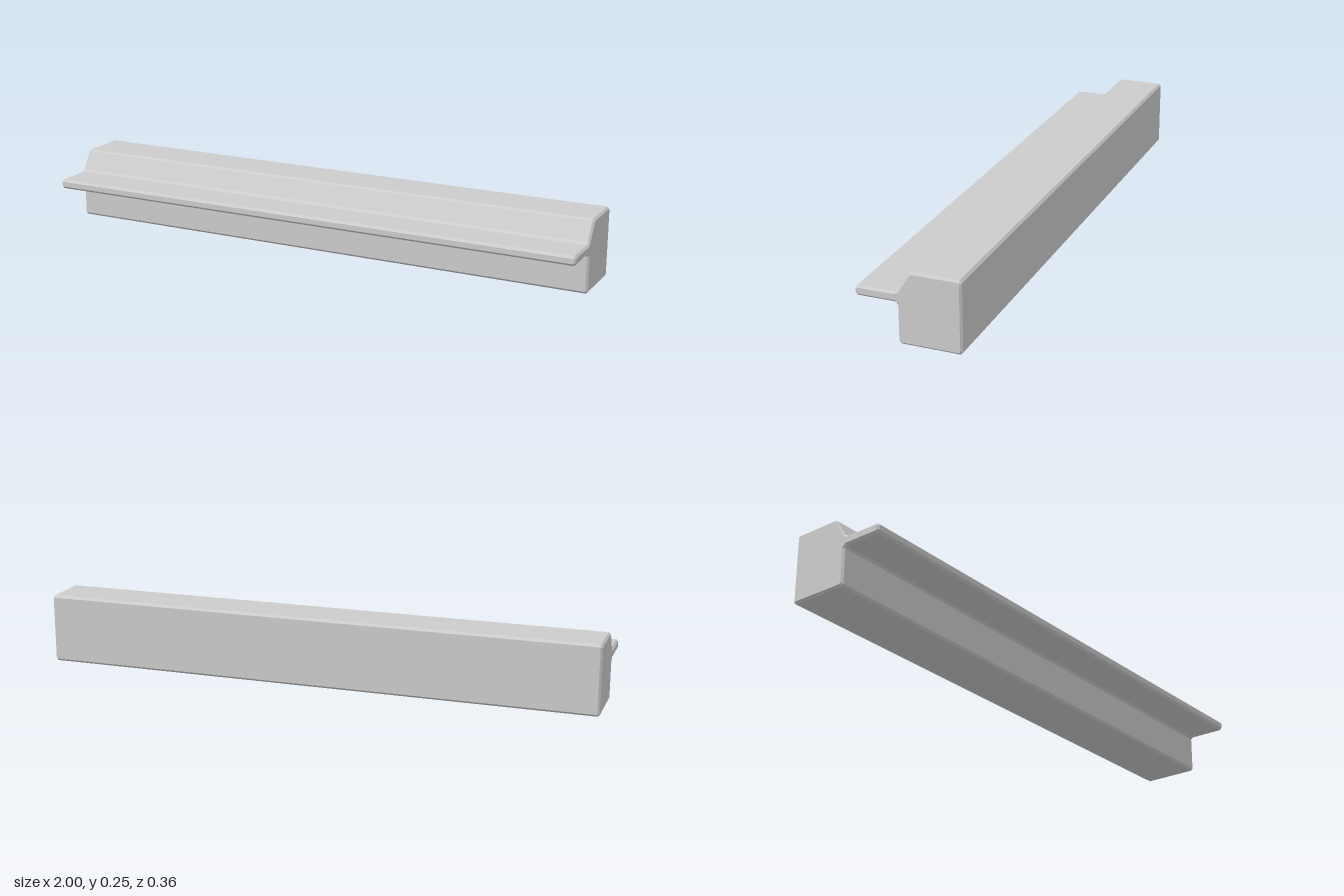
import * as THREE from 'three';

// Cross-section as [z, y], chamfered corners included
const PROFILE = [
  [-0.169, 0], [0.027, 0], [0.035, 0.008],                    // underside
  [0.035, 0.131], [0.043, 0.139],                             // front wall into ledge
  [0.17, 0.139], [0.178, 0.147], [0.178, 0.165], [0.17, 0.173], // ledge lip
  [0.046, 0.173], [0.034, 0.18],                              // ledge top into slope
  [-0.004, 0.241], [-0.013, 0.247],                           // slope up to the top
  [-0.169, 0.247], [-0.177, 0.239], [-0.177, 0.008],          // top and back
];

export function createModel() {
  const group = new THREE.Group();
  group.name = 'ledgeBeam';

  const length = 2;
  const bevel = 0.007;
  const shape = new THREE.Shape(PROFILE.map(([z, y]) => new THREE.Vector2(z, y)));

  // Extrude along the length with chamfered ends, then turn it along x
  const geometry = new THREE.ExtrudeGeometry(shape, {
    depth: length - 2 * bevel,
    bevelEnabled: true,
    bevelThickness: bevel,
    bevelSize: bevel,
    bevelOffset: -bevel,
    bevelSegments: 1,
  });
  geometry.translate(0, 0, -(length / 2 - bevel));
  geometry.rotateY(-Math.PI / 2);

  const beam = new THREE.Mesh(geometry, new THREE.MeshStandardMaterial({ color: 0xcccccc }));
  beam.name = 'beamWithLedge';
  group.add(beam);
  return group;
}
